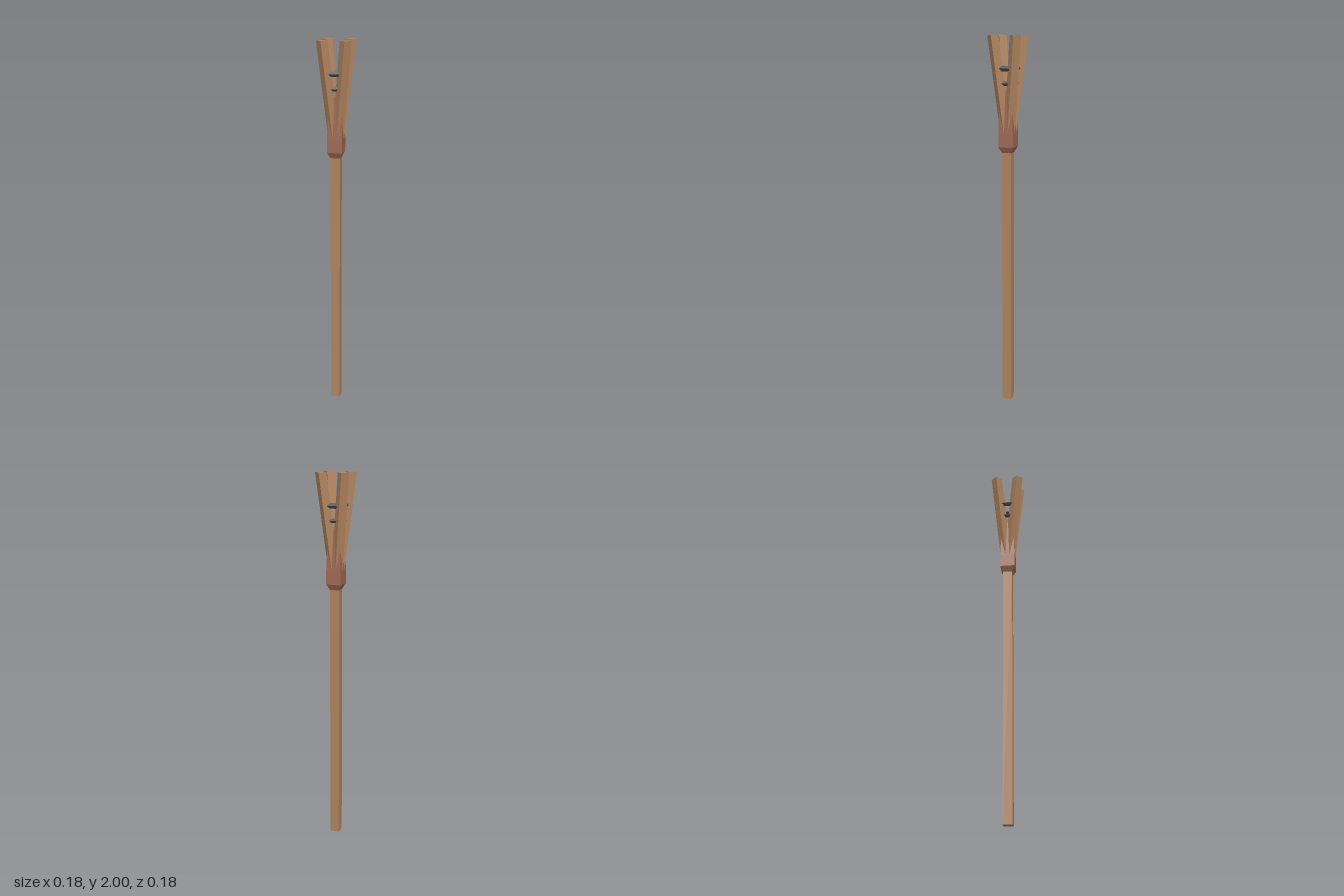
import * as THREE from 'three';

const mat = (color) => new THREE.MeshStandardMaterial({ color, flatShading: true });

// Four-sided lathe aligned with the axes; profile is [half width, y], bottom to top on the outside
function squareLathe(profile) {
  const points = profile.map(([w, y]) => new THREE.Vector2(w * Math.SQRT2, y));
  return new THREE.LatheGeometry(points, 4, Math.PI / 4);
}

// Square bar that leans outward along +x, with level ends
function leaningBar(width, y0, y1, r0, r1) {
  const geo = new THREE.BoxGeometry(width, y1 - y0, width);
  geo.translate(0, (y0 + y1) / 2, 0);
  const pos = geo.attributes.position;
  for (let i = 0; i < pos.count; i++) {
    const t = (pos.getY(i) - y0) / (y1 - y0);
    pos.setX(i, pos.getX(i) + THREE.MathUtils.lerp(r0, r1, t));
  }
  geo.computeVertexNormals();
  return geo;
}

export function createModel() {
  const model = new THREE.Group();
  const wood = mat(0xb0845f);
  const copper = mat(0xa06a55);
  const iron = mat(0x50565c);

  const add = (name, geo, material, parent = model) => {
    const mesh = new THREE.Mesh(geo, material);
    mesh.name = name;
    parent.add(mesh);
    return mesh;
  };

  // Long square shaft
  const shaft = new THREE.BoxGeometry(0.05, 1.42, 0.05);
  shaft.translate(0, 0.71, 0);
  add('shaft', shaft, wood);

  // Collar: flared base, straight band, then a tapering core between the prongs
  add('collar', squareLathe([
    [0, 1.4], [0.025, 1.4], [0.04, 1.43], [0.04, 1.5], [0.033, 1.72], [0, 1.72],
  ]), copper);

  // Four prongs spreading along the diagonals
  const prongs = new THREE.Group();
  prongs.name = 'prongs';
  model.add(prongs);
  const prongGeo = leaningBar(0.0424, 1.45, 2, 0.007, 0.085);
  for (let i = 0; i < 4; i++) {
    add('prong', prongGeo, wood, prongs).rotation.y = Math.PI / 4 + (i * Math.PI) / 2;
  }

  // Two square rings with a diamond section, running through the prongs
  const ring = (name, y, inner, outer, height) => {
    const mid = (inner + outer) / 2;
    add(name, squareLathe([
      [mid, y - height / 2], [outer, y], [mid, y + height / 2], [inner, y], [mid, y - height / 2],
    ]), iron);
  };
  ring('upperRing', 1.835, 0.035, 0.059, 0.028);
  ring('lowerRing', 1.76, 0.03, 0.05, 0.024);

  return model;
}
